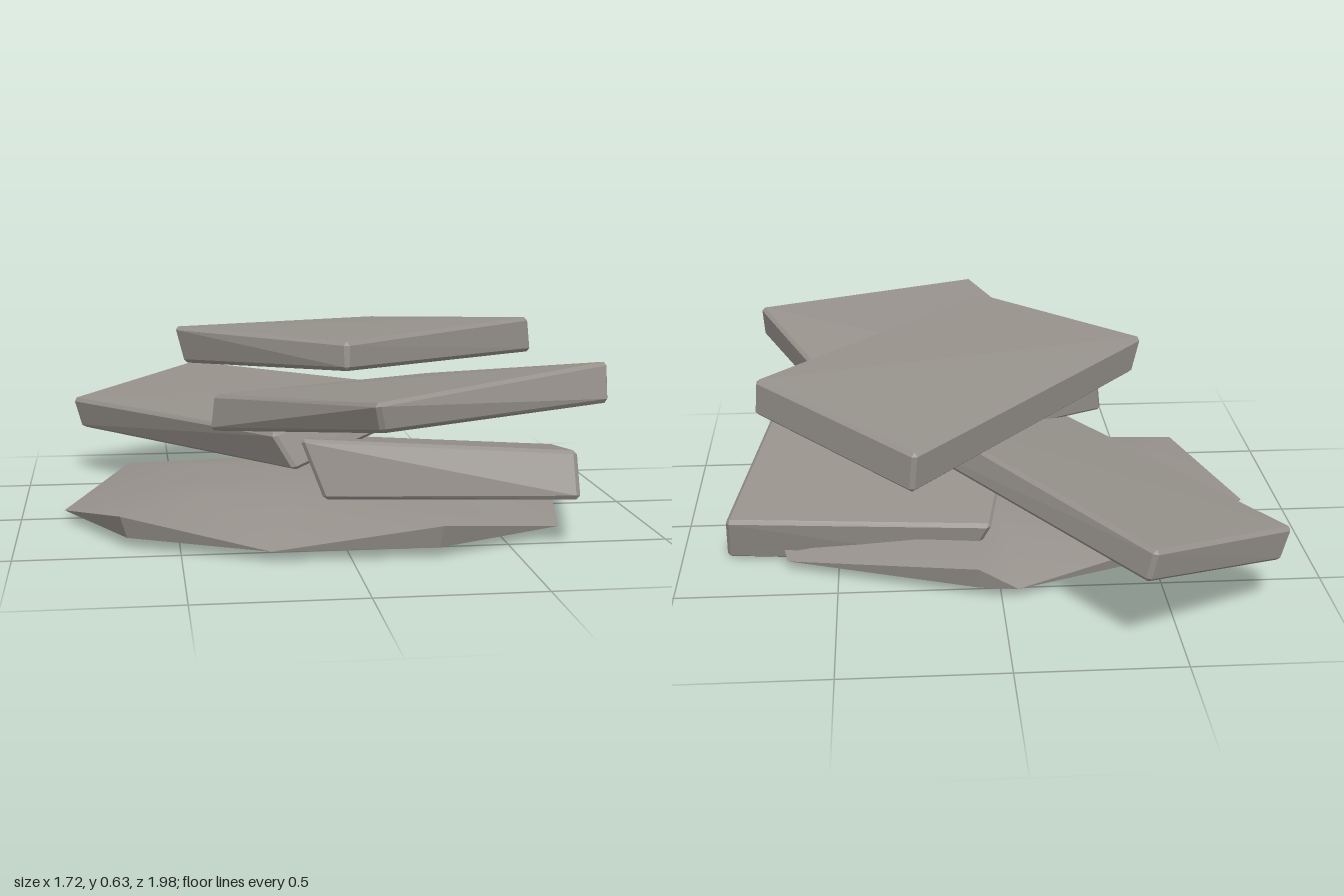
import * as THREE from 'three';
import { ConvexGeometry } from 'three/addons/geometries/ConvexGeometry.js';

const stone = new THREE.MeshStandardMaterial({ color: 0x96918b });
stone.name = 'warm grey stone';

// Slab from four top corners and the four bottom corners below them, with chamfered edges
function slab(name, top, bottom, w = 0.012) {
  const c = [...top, ...bottom].map(p => new THREE.Vector3(...p));
  const points = [];
  c.forEach((p, i) => {
    const base = i < 4 ? 0 : 4, k = i % 4;
    const dirs = [c[base + (k + 1) % 4], c[base + (k + 3) % 4], c[(i + 4) % 8]]
      .map(q => q.clone().sub(p).normalize().multiplyScalar(w));
    for (let j = 0; j < 3; j++) points.push(p.clone().add(dirs[j]).add(dirs[(j + 1) % 3]));
  });
  const mesh = new THREE.Mesh(new ConvexGeometry(points), stone);
  mesh.name = name;
  return mesh;
}

function surface(name, positions, index, smooth) {
  let g = new THREE.BufferGeometry();
  g.setAttribute('position', new THREE.Float32BufferAttribute(positions, 3));
  g.setIndex(index);
  if (!smooth) g = g.toNonIndexed();
  g.computeVertexNormals();
  const mesh = new THREE.Mesh(g, stone);
  mesh.name = name;
  return mesh;
}

// Low mound whose rim alternates between ground level and a raised lip
function mound() {
  const group = new THREE.Group();
  group.name = 'baseMound';
  const low = 0.035, high = 0.105;
  const rim = [
    [-0.86, low, 0.02], [-0.68, high, 0.41], [-0.24, low, 0.61], [0.27, high, 0.645], [0.68, low, 0.42],
    [0.74, high, 0.05], [0.66, low, -0.34], [0.07, high, -0.57], [-0.05, low, -0.57], [-0.65, high, -0.36],
  ];
  const n = rim.length;
  const cap = [0, 0.13, 0], capIndex = [];
  const under = [0, low, 0], underIndex = [];
  const side = [], sideIndex = [];
  rim.forEach(([x, , z]) => cap.push(x * 0.6, 0.122, z * 0.6));
  rim.forEach(p => cap.push(...p));
  rim.forEach(([x, y, z], i) => {
    const j = (i + 1) % n, s = y === high ? 0.97 : 1;
    const a = 1 + i, b = 1 + j, c = 1 + n + i, d = 1 + n + j;
    capIndex.push(0, a, b, a, c, d, a, d, b);
    under.push(x * s, low, z * s);
    underIndex.push(0, b, a);
    side.push(x, y, z, x * s, low, z * s);
    // low rim points share their position above and below, so each wall is one triangle
    if (y === high) sideIndex.push(2 * i, 2 * i + 1, 2 * j);
    else sideIndex.push(2 * i, 2 * j + 1, 2 * j);
  });
  group.add(surface('moundTop', cap, capIndex, true));
  group.add(surface('moundSide', side, sideIndex, false));
  group.add(surface('moundUnderside', under, underIndex, false));
  return group;
}

export function createModel() {
  const model = new THREE.Group();
  model.name = 'stackedSlabs';
  model.add(mound());

  model.add(slab('topSlab',
    [[-0.5, 0.632, 0.02], [0, 0.637, 0.5], [0.74, 0.612, -0.24], [0.26, 0.562, -0.74]],
    [[-0.47, 0.512, 0.01], [0, 0.55, 0.505], [0.75, 0.493, -0.23], [0.27, 0.435, -0.73]]));

  model.add(slab('upperFrontSlab',
    [[-0.38, 0.43, 0.15], [0.01, 0.54, 1.0], [0.775, 0.578, 0.58], [0.38, 0.422, -0.24]],
    [[-0.395, 0.315, 0.17], [0.03, 0.453, 0.975], [0.77, 0.46, 0.62], [0.37, 0.327, -0.23]]));

  model.add(slab('backSlab',
    [[-0.85, 0.282, -0.7], [-0.2, 0.317, 0.25], [0.26, 0.42, -0.05], [-0.39, 0.368, -1.0]],
    [[-0.82, 0.172, -0.7], [-0.13, 0.2, 0.27], [0.3, 0.31, -0.03], [-0.37, 0.267, -0.99]]));

  model.add(slab('lowerFrontSlab',
    [[-0.13, 0.325, 0.38], [0.7, 0.298, 0.53], [0.855, 0.15, -0.28], [0.02, 0.178, -0.42]],
    [[-0.06, 0.14, 0.42], [0.7, 0.158, 0.585], [0.86, 0.0, -0.235], [0.09, 0.03, -0.38]]));

  return model;
}
